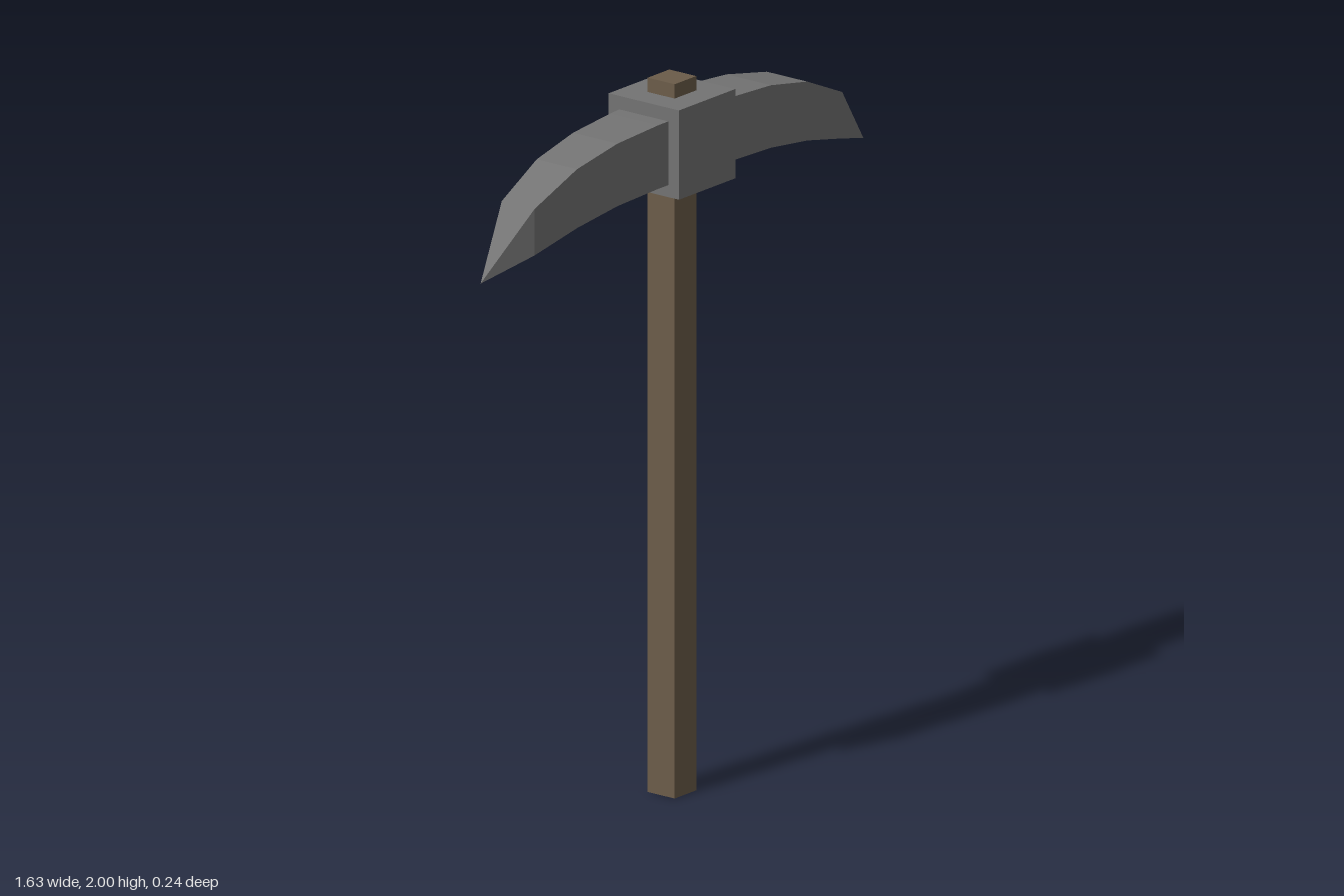
import * as THREE from 'three';

const wood = new THREE.MeshStandardMaterial({ color: 0x6b5c49 });
wood.name = 'wood';
const iron = new THREE.MeshStandardMaterial({ color: 0x737373, flatShading: true });
iron.name = 'iron';

// Half of the blade, centre to tip: x, top y, bottom y, half depth
const HALF = [
  [0, 1.925, 1.745, 0.088],
  [0.163, 1.921, 1.743, 0.082],
  [0.327, 1.91, 1.735, 0.076],
  [0.49, 1.878, 1.713, 0.069],
  [0.655, 1.805, 1.675, 0.056],
  [0.815, 1.625, 1.625, 0],
];

function box(name, w, y0, y1, material) {
  const mesh = new THREE.Mesh(new THREE.BoxGeometry(w, y1 - y0, w), material);
  mesh.name = name;
  mesh.position.y = (y0 + y1) / 2;
  return mesh;
}

// Curved blade: rectangular sections joined from the right tip to the left tip
function bladeGeometry() {
  const mirrored = HALF.slice(1).reverse().map(([x, ...rest]) => [-x, ...rest]);
  const rings = [...mirrored, ...HALF].map(([x, top, bottom, d]) =>
    [[x, top, d], [x, top, -d], [x, bottom, -d], [x, bottom, d]]);
  const points = [];
  for (let i = 0; i < rings.length - 1; i++) {
    for (let k = 0; k < 4; k++) {
      const a = rings[i][k], b = rings[i][(k + 1) % 4];
      const c = rings[i + 1][(k + 1) % 4], d = rings[i + 1][k];
      // Each end closes to a point, so it needs one triangle per side
      if (i > 0) points.push(...a, ...c, ...b);
      else points.push(...a, ...d, ...c);
      if (i > 0 && i < rings.length - 2) points.push(...a, ...d, ...c);
    }
  }
  const geometry = new THREE.BufferGeometry();
  geometry.setAttribute('position', new THREE.Float32BufferAttribute(points, 3));
  geometry.computeVertexNormals();
  return geometry;
}

export function createModel() {
  const group = new THREE.Group();
  group.name = 'pickaxe';
  const blade = new THREE.Mesh(bladeGeometry(), iron);
  blade.name = 'blade';
  group.add(
    box('handle', 0.092, 0, 2, wood),
    box('headBlock', 0.24, 1.71, 1.96, iron),
    blade,
  );
  return group;
}
